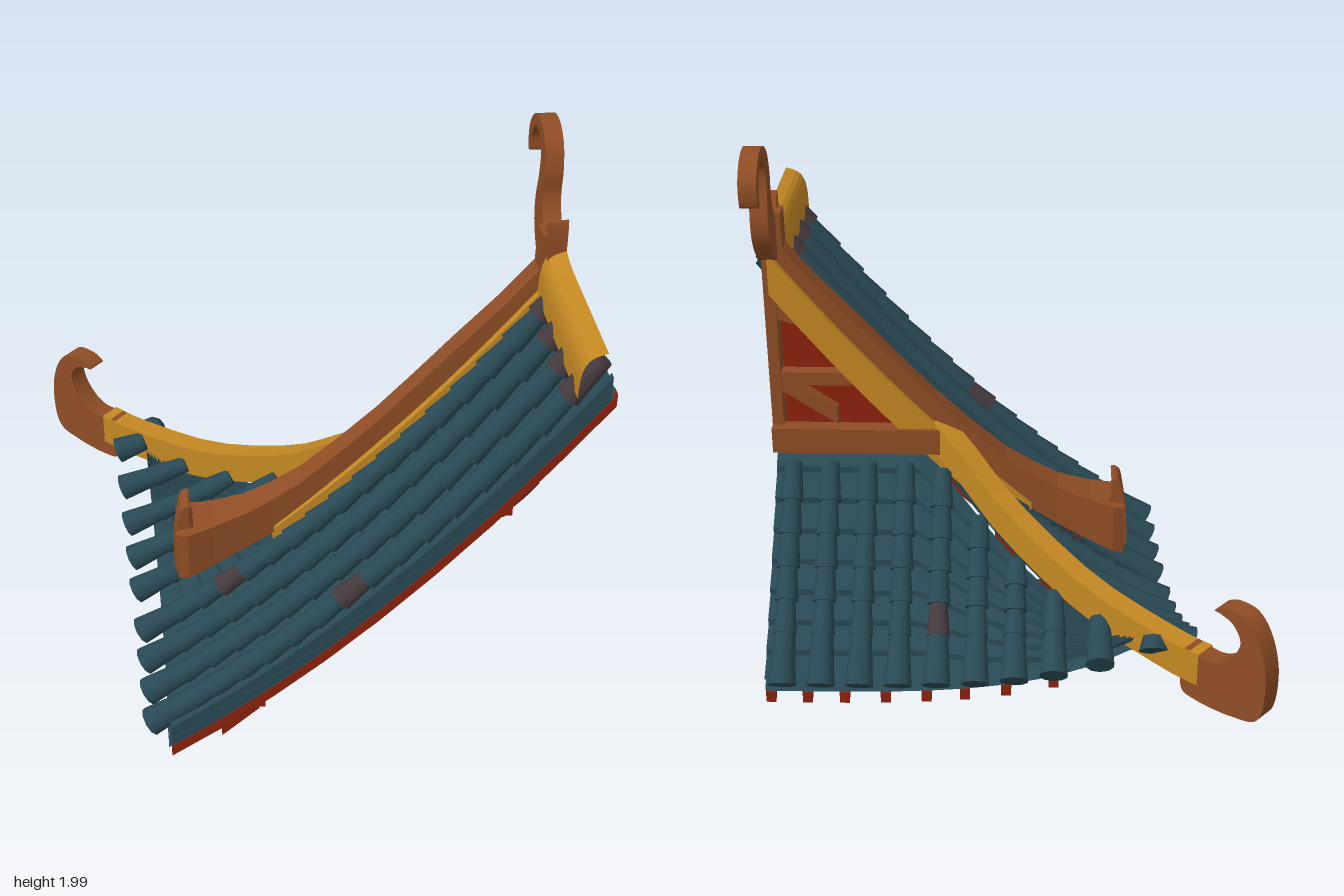
import * as THREE from 'three';
import { mergeGeometries } from 'three/addons/utils/BufferGeometryUtils.js';

const V = (x, y, z) => new THREE.Vector3(x, y, z);
const mix = THREE.MathUtils.lerp;
const material = (name, color) => new THREE.MeshStandardMaterial({ name, color, side: THREE.DoubleSide });

// Roof surfaces: the main slope falls to -x, the side slope to -z, both lift at the corner
const HIP = 0.88;
const hipZ = (x) => 0.14 + (x - 0.2) * HIP;
const hipX = (z) => 0.2 + (z - 0.14) / HIP;
const along = (a, len) => THREE.MathUtils.clamp(a / len, 0, 1);
const mainW = (z) => along(0.84 - z, 1.36);
const sideW = (x) => along(0.86 - x, 1.36);
function profile(x) {
  const t = (0.9 - x) / 1.4;
  return 1.47 - 1.38 * t - 0.489 * t * (1 - t);
}
const mainSlope = (x, z) => V(x, profile(x) + 0.33 * along(0.2 - x, 0.77) * mainW(z) ** 3, z);
function sideSlope(x, z) {
  const t = (0.3 - z) / 0.7;
  return V(x, 0.8 - 0.75 * t - 0.08 * t * (1 - t) + 0.43 * along(0.14 - z, 0.64) * sideW(x) ** 3, z);
}
const mainEave = (z) => -0.51 - 0.05 * mainW(z) ** 2;
const sideEave = (x) => -0.39 - 0.12 * sideW(x) ** 3;

// Sheet over at(u, v), raised by base, with a step at the lower edge of each course
function sheet(at, courses, cols, base = 0, step = 0) {
  const rows = [];
  for (let k = 0; k < courses; k++) rows.push([k / courses, base], [(k + 1) / courses, base + step]);
  const pos = [], idx = [];
  rows.forEach(([v, up], r) => {
    for (let c = 0; c <= cols; c++) {
      const p = at(c / cols, v);
      pos.push(p.x, p.y + up, p.z);
      if (r && c) {
        const b = r * (cols + 1) + c, a = b - cols - 1;
        idx.push(a - 1, b - 1, a, a, b - 1, b);
      }
    }
  });
  return faceted(pos, idx);
}

function faceted(pos, idx) {
  const g = new THREE.BufferGeometry();
  g.setAttribute('position', new THREE.Float32BufferAttribute(pos, 3));
  g.setIndex(idx);
  const flat = g.toNonIndexed();
  flat.computeVertexNormals();
  return flat;
}

// Bar swept through points [x, y, z, width, height, tilt]; y is the middle of its underside
function bar(pts) {
  const pos = [], idx = [], n = pts.length;
  pts.forEach(([x, y, z, w, h, tilt = 0], i) => {
    const a = pts[Math.max(0, i - 1)], b = pts[Math.min(n - 1, i + 1)];
    const s = V(b[0] - a[0], 0, b[2] - a[2]).cross(V(0, 1, 0)).normalize().multiplyScalar(w / 2);
    for (const [k, up] of [[-1, 0], [1, 0], [1, h], [-1, h]])
      pos.push(x + k * s.x, y + up + k * tilt / 2, z + k * s.z);
    if (i) for (let j = 0; j < 4; j++) {
      const p = i * 4 - 4 + j, q = i * 4 - 4 + (j + 1) % 4;
      idx.push(p, p + 4, q, q, p + 4, q + 4);
    }
  });
  const e = n * 4 - 4;
  idx.push(0, 1, 2, 0, 2, 3, e, e + 2, e + 1, e, e + 3, e + 2);
  return faceted(pos, idx);
}
const sweep = (n, from, to, point) => bar(Array.from({ length: n + 1 }, (_, i) => point(mix(from, to, i / n))));

// Plate with a smooth curved outline
function curvedPlate(points, depth) {
  const p = points.map(([x, y]) => new THREE.Vector2(x, y));
  const s = new THREE.Shape();
  s.moveTo(p[0].x, p[0].y);
  s.splineThru(p.slice(1));
  return new THREE.ExtrudeGeometry(s, { depth, bevelEnabled: false, curveSegments: 36 });
}

// One flared cover tile from its upper to its lower end
function coverTile(hi, lo, r) {
  const d = hi.clone().sub(lo);
  const g = new THREE.CylinderGeometry(r * 0.72, r, d.length() * 1.14, 10);
  g.applyQuaternion(new THREE.Quaternion().setFromUnitVectors(V(0, 1, 0), d.clone().normalize()));
  const m = hi.clone().add(lo).multiplyScalar(0.5);
  return g.translate(m.x, m.y, m.z);
}

export function createModel() {
  const root = new THREE.Group();
  root.name = 'roofCorner';
  const teal = material('teal tile', 0x294954);
  const worn = material('worn tile', 0x453a3e);
  const gold = material('ochre ridge', 0xc48823);
  const brown = material('brown wood', 0x8f4d25);
  const red = material('red wood', 0x8c220c);
  const add = (name, geo, mat) => {
    const m = new THREE.Mesh(geo, mat);
    m.name = name;
    root.add(m);
    return m;
  };
  const box = (name, mat, x0, x1, y0, y1, z0, z1) => add(name,
    new THREE.BoxGeometry(x1 - x0, y1 - y0, z1 - z0).translate((x0 + x1) / 2, (y0 + y1) / 2, (z0 + z1) / 2), mat);

  // Smooth roof boards with stepped pan tiles above
  const sheets = [
    ['mainSlopeUpper', 16, 6, (u, v) => {
      const z = mix(0.84, 0.26, u);
      return mainSlope(mix(0.9, mainEave(z), v), z);
    }],
    ['mainSlopeCorner', 10, 11, (u, v) => {
      const z = mix(0.26, -0.5, u);
      return mainSlope(mix(hipX(z), mainEave(z), v), z);
    }],
    ['sideSlope', 8, 18, (u, v) => {
      const x = mix(0.86, -0.53, u);
      return sideSlope(x, mix(Math.min(0.24, hipZ(x)), sideEave(x), v));
    }]];
  for (const [name, courses, cols, at] of sheets) {
    add(name + 'Boards', sheet(at, courses, cols), teal);
    add(name + 'Pans', sheet(at, courses, cols, 0.025, 0.025), teal);
  }
  add('verge', sweep(16, 0.89, -0.5, (x) => [x, profile(x), 0.825, 0.025, 0.085]), teal);

  // Rows of cover tiles, with a few worn ones
  let count = 0;
  const tiles = [], wornTiles = [];
  function tileRow(at, from, to, wornTop) {
    const n = Math.max(0, Math.round((from - to - 0.13) / 0.085));
    const joint = (k) => (k > n ? to : k === 0 ? from : mix(from, to + 0.13, k / n));
    for (let k = 0; k <= n; k++) {
      const isWorn = ++count % 53 === 9 || (wornTop && k === 0);
      (isWorn ? wornTiles : tiles).push(coverTile(at(joint(k)), at(joint(k + 1)), k === n ? 0.052 : 0.044));
    }
  }
  for (const z of [0.76, 0.61, 0.455, 0.3, 0.1, -0.05, -0.2, -0.35, -0.49])
    tileRow((x) => mainSlope(x, z).add(V(-0.05, 0.055, 0)),
      z > 0.2 ? 0.92 : hipX(z), mainEave(z) + 0.005 - 0.06 * mainW(z), z > 0.2);
  for (const x of [0.79, 0.65, 0.51, 0.37, 0.23, 0.09, -0.05, -0.19, -0.35, -0.53])
    tileRow((z) => sideSlope(x, z).add(V(0, 0.055, -0.05)),
      Math.min(0.18, hipZ(x)), sideEave(x) + 0.015 - 0.04 * sideW(x) ** 3);
  add('coverTiles', mergeGeometries(tiles), teal);
  add('wornCoverTiles', mergeGeometries(wornTiles), worn);

  // Rafters under both slopes
  const rafter = (at, from, to) => sweep(8, from, to, (s) => {
    const p = at(s);
    return [p.x, p.y - 0.05, p.z, 0.036, 0.045];
  });
  for (const z of [0.82, 0.66, 0.5, 0.34, 0.17, 0.01, -0.14])
    add('mainRafter', rafter((x) => mainSlope(x, z),
      z > 0.8 ? 0.91 : z > 0.2 ? 0.85 : hipX(z) - 0.02, mainEave(z) + 0.01), red);
  for (const x of [0.84, 0.706, 0.57, 0.42, 0.27, 0.13, -0.02, -0.19])
    add('sideRafter', rafter((z) => sideSlope(x, z), Math.min(0.24, hipZ(x) - 0.02), sideEave(x)), red);

  // Eave planks lying under the slopes, each with a thin upright lip
  const planks = [
    ['mainEavePlank', 0.84, -0.2, (z) => [-0.26, mainSlope(-0.26, z).y - 0.07, z, 0.13, 0.045, 0.12]],
    ['mainPlankLip', 0.84, -0.2, (z) => [-0.185, mainSlope(-0.26, z).y - 0.005, z, 0.02, 0.045]],
    ['sideEavePlank', -0.22, 0.86, (x) => [x, sideSlope(x, -0.2).y - 0.067, -0.2, 0.13, 0.045, 0.125]],
    ['sidePlankLip', -0.22, 0.86, (x) => [x, sideSlope(x, -0.2).y, -0.125, 0.02, 0.045]]];
  for (const [name, from, to, point] of planks) add(name, sweep(8, from, to, point), red);

  // Gable panel and its timber frame
  const panel = new THREE.Shape();
  panel.moveTo(0.3, 0.75);
  panel.lineTo(0.865, 0.75);
  for (let i = 0; i <= 8; i++) {
    const x = mix(0.865, 0.32, i / 8);
    panel.lineTo(x, profile(x) - 0.005);
  }
  add('gablePanel', new THREE.ExtrudeGeometry(panel, { depth: 0.006, bevelEnabled: false }).translate(0, 0, 0.262), red);
  box('gablePost', brown, 0.82, 0.862, 0.78, 1.58, 0.155, 0.235);
  box('gableBeam', brown, 0.24, 0.862, 0.77, 0.87, 0.12, 0.18);
  add('gableStrut', bar([[0.56, 1.03, 0.19, 0.05, 0.05], [0.84, 1.03, 0.19, 0.05, 0.05]]), brown);
  add('gableBrace', bar([[0.62, 0.87, 0.19, 0.05, 0.06], [0.84, 1.02, 0.19, 0.05, 0.06]]), brown);
  add('gableBrace', bar([[0.72, 1.26, 0.19, 0.05, 0.05], [0.84, 1.3, 0.19, 0.05, 0.05]]), brown);

  // Descending ridge: ochre base, brown cap flaring to a horned end
  add('descendingRidgeBase', sweep(16, 0.84, -0.1, (x) => [x, profile(x) + 0.012, 0.198, 0.128, 0.16]), gold);
  add('descendingRidgeCap', bar([
    [0.82, 1.49, 0.197, 0.08, 0.12], [0.68, 1.315, 0.197, 0.08, 0.125], [0.535, 1.155, 0.197, 0.08, 0.13],
    [0.4, 1.005, 0.197, 0.08, 0.13], [0.27, 0.865, 0.197, 0.08, 0.13], [0.13, 0.73, 0.197, 0.085, 0.13],
    [0, 0.61, 0.197, 0.095, 0.135], [-0.1, 0.53, 0.197, 0.105, 0.15], [-0.2, 0.47, 0.197, 0.12, 0.155],
    [-0.32, 0.41, 0.197, 0.155, 0.175], [-0.41, 0.375, 0.197, 0.195, 0.19], [-0.45, 0.36, 0.197, 0.17, 0.2]]), brown);
  add('ridgeHorn', curvedPlate([[-0.34, 0.53], [-0.39, 0.57], [-0.405, 0.61], [-0.4, 0.66], [-0.43, 0.65],
    [-0.445, 0.59], [-0.46, 0.48], [-0.455, 0.37], [-0.38, 0.4], [-0.34, 0.53]], 0.11).translate(0, 0, 0.142), brown);

  // Hip ridge and its curled end, set along the hip line
  const hipY = new THREE.SplineCurve([[0.24, 0.77], [0.14, 0.69], [-0.03, 0.535], [-0.31, 0.385], [-0.58, 0.335], [-0.7, 0.335]]
    .map(([x, y]) => new THREE.Vector2(x, y)));
  add('hipRidge', bar(hipY.getPoints(14).map(({ x, y }) => [x, y, hipZ(x), 0.08, 0.125])), gold);
  const curl = add('hipEndCurl', curvedPlate([[1.14, 0.46], [1.25, 0.455], [1.32, 0.5], [1.36, 0.58], [1.33, 0.64],
    [1.28, 0.66], [1.25, 0.665], [1.3, 0.69], [1.38, 0.68], [1.44, 0.6], [1.47, 0.47], [1.45, 0.32], [1.35, 0.28],
    [1.2, 0.27], [1.13, 0.3], [1.14, 0.46]], 0.074).translate(0, 0, -0.037), brown);
  curl.rotation.y = Math.PI - Math.atan(HIP);
  curl.position.set(0.2, 0, 0.14);

  // Main ridge as an open half shell, rising to its curled finial
  const shell = new THREE.SplineCurve([[0.785, 1.47], [0.79, 1.56], [0.815, 1.61], [0.865, 1.63]]
    .map(([x, y]) => new THREE.Vector2(x, y)));
  add('mainRidge', sheet((u, v) => {
    const p = shell.getPoint(v), z = mix(0.84, 0.2, u);
    return V(p.x, p.y + 0.04 * along(0.36 - z, 0.16) ** 2, z);
  }, 8, 12), gold);
  const finial = curvedPlate([[0.25, 1.5], [0.255, 1.62], [0.245, 1.755], [0.2, 1.7], [0.15, 1.71], [0.115, 1.78],
    [0.115, 1.87], [0.085, 1.95], [0.01, 1.995], [-0.08, 1.985], [-0.145, 1.92], [-0.145, 1.84], [-0.115, 1.835],
    [-0.11, 1.89], [-0.07, 1.945], [-0.005, 1.95], [0.04, 1.9], [0.04, 1.82], [0.02, 1.73], [0.03, 1.65],
    [0.08, 1.58], [0.15, 1.53], [0.25, 1.5]], 0.062);
  add('ridgeFinial', finial.rotateY(-Math.PI / 2).translate(0.865, 0, 0), brown);
  box('finialFoot', brown, 0.785, 0.863, 1.56, 1.7, 0.16, 0.24);
  return root;
}
